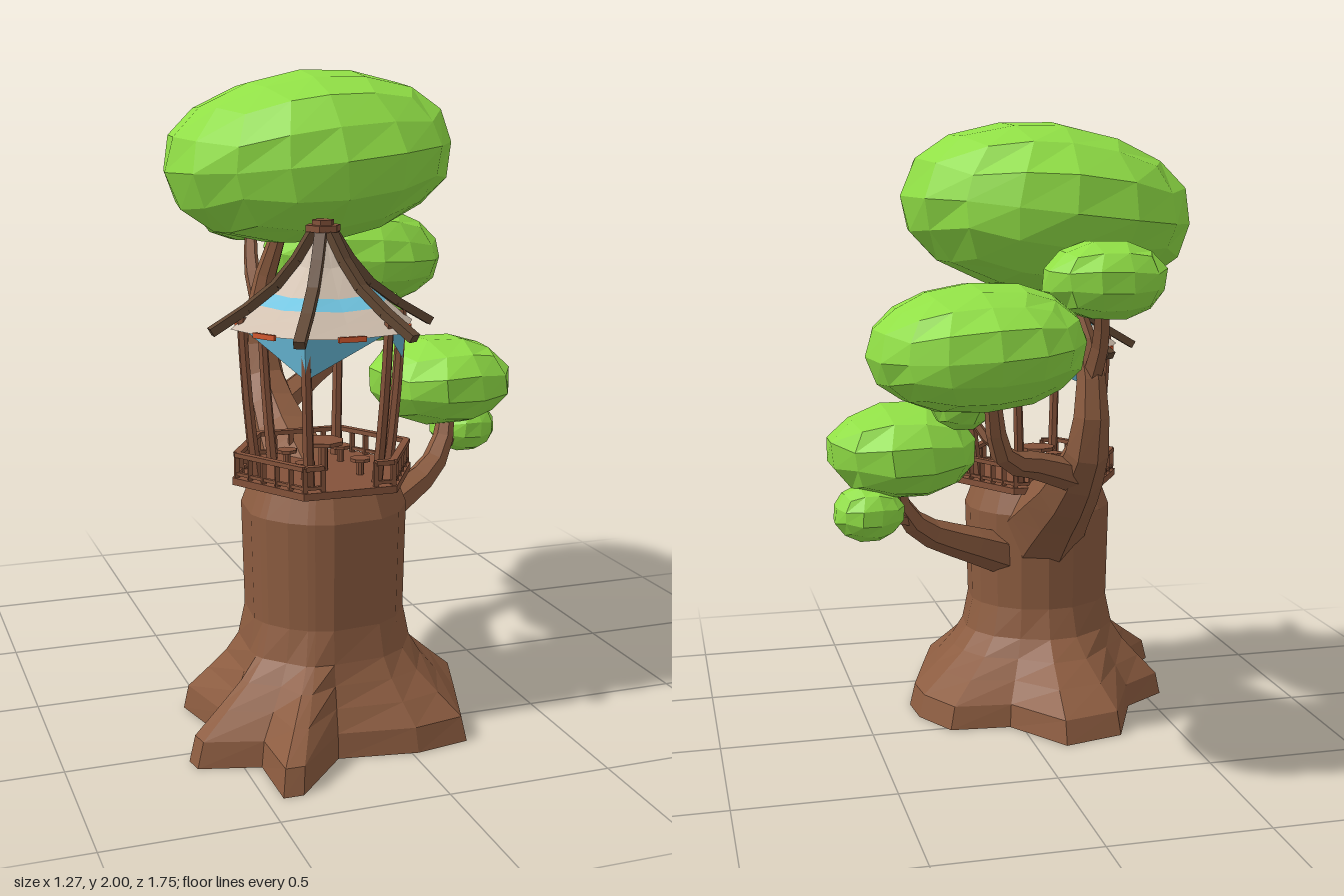
import * as THREE from 'three';

const paint = (name, color, side = THREE.FrontSide) => {
  const m = new THREE.MeshStandardMaterial({ color, flatShading: true, side });
  m.name = name;
  return m;
};
const V = (x, y, z) => new THREE.Vector3(x, y, z);

export function createModel() {
  const bark = paint('bark', 0x8c5c40, THREE.DoubleSide);
  const leaf = paint('leaf', 0x91e046);
  const wood = paint('wood', 0x84523a);
  const rafterWood = paint('rafterWood', 0x5f4632);
  const cloth = paint('cloth', 0xd0bfae, THREE.DoubleSide);
  const stripe = paint('stripe', 0x70c4e0, THREE.DoubleSide);
  const pennantBlue = paint('pennantBlue', 0x64b3d0);
  const orange = paint('orange', 0xd4582f);

  const root = new THREE.Group();
  root.name = 'treehouse';
  const add = (parent, name, geo, mat) => {
    const m = new THREE.Mesh(geo, mat);
    m.name = name;
    parent.add(m);
    return m;
  };

  // Skin between closed rings listed from bottom to top, with an optional lid
  const loft = (rings, lid = false) => {
    const pos = [];
    const tri = (...p) => p.forEach(q => pos.push(q.x, q.y, q.z));
    for (let j = 0; j + 1 < rings.length; j++) {
      const lo = rings[j], up = rings[j + 1], n = lo.length;
      for (let i = 0; i < n; i++) {
        const k = (i + 1) % n;
        tri(lo[i], up[i], lo[k]);
        tri(up[i], up[k], lo[k]);
      }
    }
    if (lid) {
      const ring = rings[rings.length - 1];
      const c = ring.reduce((s, p) => s.add(p), V(0, 0, 0)).divideScalar(ring.length);
      ring.forEach((p, i) => tri(c, ring[(i + 1) % ring.length], p));
    }
    const g = new THREE.BufferGeometry();
    g.setAttribute('position', new THREE.Float32BufferAttribute(pos, 3));
    g.computeVertexNormals();
    return g;
  };

  // Tapering limb along a curve
  const limb = (parent, name, pts, r0, r1, mat, sides = 6, steps = 8, power = 1) => {
    const curve = new THREE.CatmullRomCurve3(pts.map(p => V(...p)));
    const g = new THREE.TubeGeometry(curve, steps, 1, sides);
    const a = g.attributes.position, v = V(0, 0, 0);
    for (let i = 0; i < a.count; i++) {
      const t = Math.floor(i / (sides + 1)) / steps, c = curve.getPointAt(t);
      v.fromBufferAttribute(a, i).sub(c).multiplyScalar(r1 + (r0 - r1) * (1 - t) ** power).add(c);
      a.setXYZ(i, v.x, v.y, v.z);
    }
    return add(parent, name, g, mat);
  };

  // Straight beam between two points, turned before it joins its parent
  const beam = (parent, name, a, b, w, h, mat) => {
    const m = new THREE.Mesh(new THREE.BoxGeometry(w, h, a.distanceTo(b)), mat);
    m.name = name;
    m.position.copy(a).add(b).multiplyScalar(0.5);
    m.lookAt(b);
    parent.add(m);
  };

  // Trunk with spreading roots: [x, z] of the outline on the ground
  const cx = -0.15, cz = 0.34;
  const outline = [[0.33, 0.26], [0.26, 0.47], [0.19, 0.69], [0.02, 0.72], [-0.22, 0.68], [-0.39, 0.87],
    [-0.45, 0.87], [-0.45, 0.66], [-0.63, 0.61], [-0.64, 0.55], [-0.5, 0.42], [-0.56, 0.16], [-0.41, 0.06],
    [-0.3, -0.2], [-0.1, -0.25], [0.04, -0.04], [0.24, -0.02], [0.32, 0.13]];
  // [height, trunk radius, share of the root spread]
  const levels = [[0, 0.25, 1], [0.075, 0.25, 0.92], [0.14, 0.255, 0.58], [0.2, 0.258, 0.27],
    [0.26, 0.258, 0.06], [0.36, 0.248, 0], [0.69, 0.256, 0], [0.77, 0.225, 0]];
  const rings = levels.map(([y, r, s]) => outline.map(([x, z]) => {
    const d = Math.hypot(x - cx, z - cz), a = Math.atan2(z - cz, x - cx);
    const q = r + (d - r) * s;
    return V(cx + Math.cos(a) * q, y, cz + Math.sin(a) * q);
  }));
  add(root, 'trunk', loft(rings, true), bark);

  // Limbs
  const limbs = new THREE.Group();
  limbs.name = 'limbs';
  root.add(limbs);
  limb(limbs, 'mainLimb', [[-0.13, 0.61, 0.22], [-0.14, 0.71, 0.08], [-0.15, 0.84, -0.12], [-0.16, 1.0, -0.26],
    [-0.16, 1.25, -0.27], [-0.1, 1.55, -0.17]], 0.155, 0.025, bark, 7, 10, 1.5);
  limb(limbs, 'backLimb', [[-0.15, 0.88, -0.18], [0.02, 0.95, -0.31], [0.16, 1.01, -0.44], [0.22, 1.25, -0.54]],
    0.055, 0.022, bark);
  limb(limbs, 'twig', [[0.1, 0.98, -0.38], [0.18, 1.04, -0.34], [0.25, 1.15, -0.3]], 0.02, 0.012, bark, 5, 4);
  limb(limbs, 'upperTwig', [[-0.16, 1.2, -0.27], [-0.17, 1.33, -0.35], [-0.14, 1.5, -0.46]], 0.033, 0.02, bark, 5, 5);
  limb(limbs, 'sideLimb', [[-0.02, 0.53, 0.22], [0.13, 0.595, 0.14], [0.33, 0.69, 0.05], [0.41, 0.81, -0.01], [0.42, 0.95, -0.04]],
    0.075, 0.022, bark);
  limb(limbs, 'lowTwig', [[0.36, 0.72, 0.03], [0.44, 0.75, -0.05], [0.52, 0.79, -0.12]], 0.025, 0.015, bark, 5, 4);

  // Leaf clumps: rounded cubes with slightly uneven corners, [name, centre, half size, segments, tilt]
  const clumps = [
    ['crown', [-0.073, 1.73, -0.043], [0.465, 0.272, 0.428], 4, 0.1],
    ['backClump', [0.263, 1.352, -0.557], [0.323, 0.186, 0.322], 4, -0.06],
    ['sideClump', [0.402, 0.972, -0.055], [0.233, 0.145, 0.238], 3, 0],
    ['lowClump', [0.52, 0.787, -0.12], [0.11, 0.088, 0.105], 3, 0],
    ['middleClump', [0.255, 1.17, -0.29], [0.1, 0.095, 0.13], 3, 0],
    ['rearClump', [-0.14, 1.535, -0.485], [0.182, 0.115, 0.145], 3, 0]];
  clumps.forEach(([name, c, r, n, tilt], id) => {
    const g = new THREE.BoxGeometry(2, 2, 2, n, n, n);
    const a = g.attributes.position, p = V(0, 0, 0);
    for (let i = 0; i < a.count; i++) {
      p.fromBufferAttribute(a, i);
      const s = p.x * 2.9 + p.y * 4.2 + p.z * 3.7 + id * 5;
      p.set(Math.tan(p.x * 0.7), Math.tan(p.y * 0.7), Math.tan(p.z * 0.7));
      const e = 2.05;
      p.divideScalar((Math.abs(p.x) ** e + Math.abs(p.y) ** e + Math.abs(p.z) ** e) ** (1 / e));
      p.x += Math.sin(s * 3) * 0.025;
      p.y += Math.sin(s * 4) * 0.02;
      p.z += Math.sin(s * 5) * 0.025;
      a.setXYZ(i, p.x * r[0], p.y * r[1], p.z * r[2]);
    }
    g.rotateZ(tilt).center();
    const half = g.boundingBox.getSize(V(0, 0, 0)).multiplyScalar(0.5);
    g.scale(r[0] / half.x, r[1] / half.y, r[2] / half.z);
    add(root, name, g, leaf).position.set(...c);
  });

  // Pavilion on top of the trunk
  const pavilion = new THREE.Group();
  pavilion.name = 'pavilion';
  pavilion.position.set(cx, 0, cz);
  root.add(pavilion);
  const at = (deg, r, y) => V(Math.cos(deg * Math.PI / 180) * r, y, Math.sin(deg * Math.PI / 180) * r);
  const hexDisc = (name, r, h, y) => {
    const m = add(pavilion, name, new THREE.CylinderGeometry(r, r, h, 6), wood);
    m.position.y = y;
    m.rotation.y = Math.PI / 6;
  };
  hexDisc('platform', 0.29, 0.022, 0.782);
  hexDisc('roofCap', 0.055, 0.02, 1.537);
  hexDisc('roofCapTip', 0.035, 0.02, 1.552);

  for (let i = 0; i < 6; i++) {
    const a = i * 60, b = a + 60;
    const post = [[0.212, 0.78], [0.232, 0.95], [0.245, 1.1], [0.256, 1.28]];
    limb(pavilion, 'post', post.map(([r, y]) => at(a, r, y).toArray()), 0.018, 0.015, wood, 6, 4);
    // Curved roof rafters
    const line = [[0.03, 1.53], [0.085, 1.445], [0.15, 1.37], [0.24, 1.305], [0.35, 1.24]];
    for (let j = 0; j < 4; j++) {
      beam(pavilion, 'rafter', at(a, ...line[j]), at(a, ...line[j + 1]), 0.034, 0.026, rafterWood);
    }
    // Railing, left open in the middle of the front side
    const along = (t, r, y) => at(a, r, y).lerp(at(b, r, y), t);
    const spans = i === 1 ? [[0, 0.2], [0.8, 1]] : [[0, 1]];
    for (const [s, e] of spans) {
      beam(pavilion, 'topRail', along(s, 0.275, 0.864), along(e, 0.275, 0.864), 0.022, 0.014, wood);
      beam(pavilion, 'lowRail', along(s, 0.275, 0.805), along(e, 0.275, 0.805), 0.012, 0.01, wood);
      const n = Math.round((e - s) * 5);
      for (let k = 0; k <= n; k++) {
        const t = s + (e - s) * k / n;
        beam(pavilion, 'baluster', along(t, 0.275, 0.79), along(t, 0.275, 0.865), 0.014, 0.014, wood);
      }
    }
    // Orange trim at the middle of each eave
    beam(pavilion, 'eaveTrim', along(0.36, 0.3, 1.241), along(0.64, 0.3, 1.241), 0.009, 0.016, orange);
  }

  // Cloth roof in bands
  const roofRing = (r, y) => Array.from({ length: 12 }, (_, i) =>
    at(i * 30, i % 2 ? r * 0.885 : r, i % 2 ? y - 0.006 : y));
  const bands = [
    ['roofCloth', cloth, [[0.16, 1.347], [0.085, 1.43], [0.035, 1.52]]],
    ['roofStripe', stripe, [[0.203, 1.314], [0.16, 1.347]]],
    ['roofHem', cloth, [[0.29, 1.246], [0.24, 1.285], [0.203, 1.314]]]];
  for (const [name, mat, prof] of bands) add(pavilion, name, loft(prof.map(([r, y]) => roofRing(r, y))), mat);

  // Three hanging pennants, each folded round a post
  for (const d of [0, 120, 240]) {
    const l = at(d - 60, 0.25, 1.245), top = at(d, 0.272, 1.245), r = at(d + 60, 0.25, 1.245), tip = at(d, 0.262, 1.122);
    const g = new THREE.BufferGeometry().setFromPoints([l, top, tip, top, r, tip]);
    g.computeVertexNormals();
    add(pavilion, 'pennant', g, pennantBlue);
  }

  // Table and stools
  const disc = (name, r, h, x, y, z) =>
    add(pavilion, name, new THREE.CylinderGeometry(r, r, h, 8), wood).position.set(x, y, z);
  disc('tableTop', 0.065, 0.012, 0, 0.882, 0);
  disc('tableLeg', 0.015, 0.09, 0, 0.835, 0);
  for (let i = 0; i < 4; i++) {
    const p = at(45 + i * 90, 0.125, 0.84);
    disc('stoolSeat', 0.032, 0.01, p.x, p.y, p.z);
    disc('stoolLeg', 0.012, 0.05, p.x, 0.815, p.z);
  }
  return root;
}
